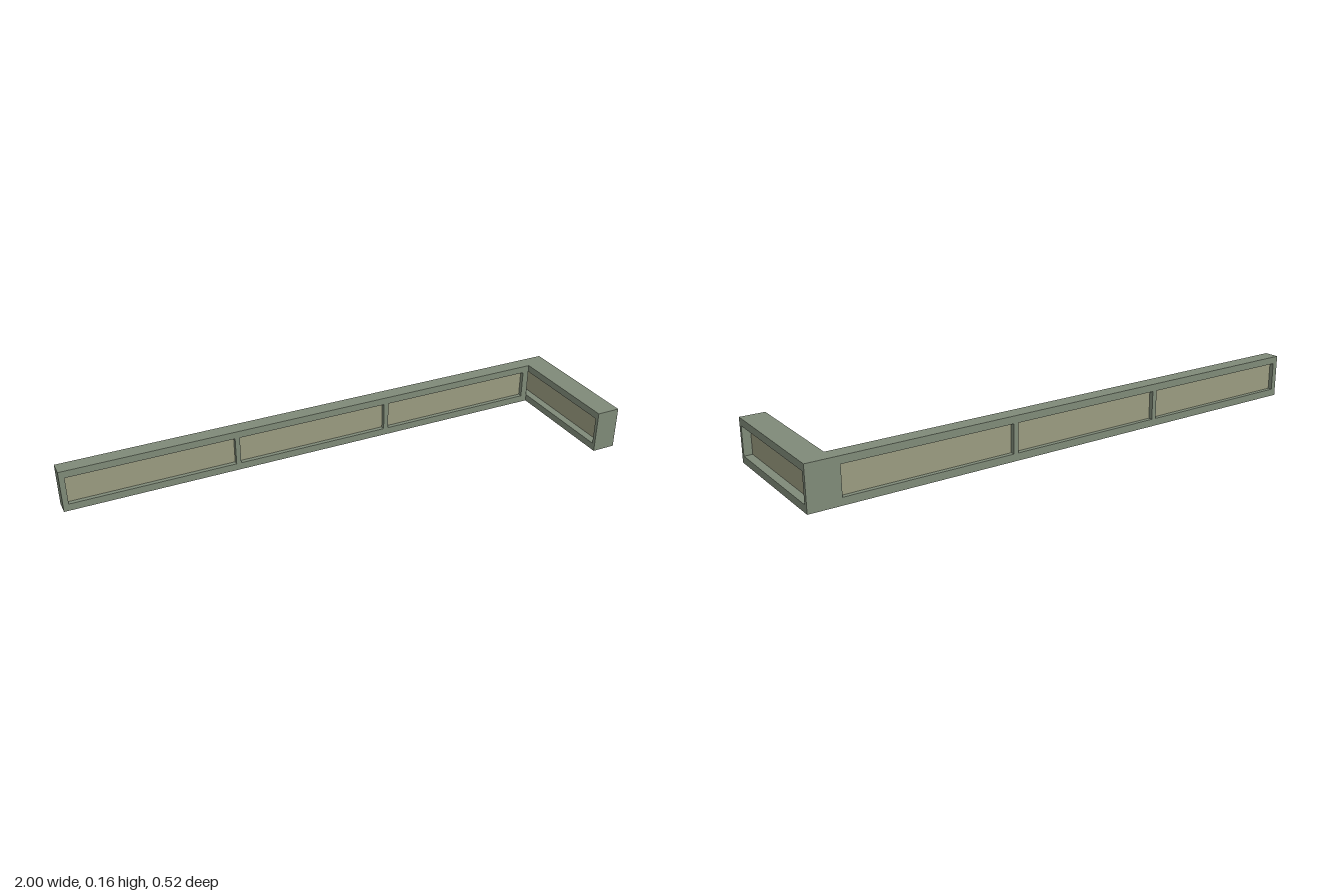
import * as THREE from 'three';

const HEIGHT = 0.16;
const SILL = 0.027;
const HEAD = 0.133;

const frameMaterial = new THREE.MeshStandardMaterial({ color: 0x7f8a78 });
const panelMaterial = new THREE.MeshStandardMaterial({ color: 0x9a9b80 });

function rectangle(path, x0, x1, y0, y1) {
  path.moveTo(x0, y0);
  path.lineTo(x1, y0);
  path.lineTo(x1, y1);
  path.lineTo(x0, y1);
  path.closePath();
  return path;
}

// A wall frame along local x, pierced by openings that each hold a thin recessed panel
function createWall(name, start, end, depth, openings, panelDepth) {
  const wall = new THREE.Group();
  wall.name = name;

  const outline = rectangle(new THREE.Shape(), start, end, 0, HEIGHT);
  for (const [a, b] of openings) {
    outline.holes.push(rectangle(new THREE.Path(), a, b, SILL, HEAD));
  }
  const frame = new THREE.Mesh(
    new THREE.ExtrudeGeometry(outline, { depth, bevelEnabled: false }),
    frameMaterial
  );
  frame.name = name + 'Frame';
  wall.add(frame);

  openings.forEach(([a, b], i) => {
    const panel = new THREE.Mesh(
      new THREE.BoxGeometry(b - a, HEAD - SILL, panelDepth),
      panelMaterial
    );
    panel.name = name + 'Panel' + (i + 1);
    panel.position.set((a + b) / 2, (SILL + HEAD) / 2, depth / 2);
    wall.add(panel);
  });
  return wall;
}

export function createModel() {
  const model = new THREE.Group();
  model.name = 'cornerWall';

  // Long back wall with three panels
  const backWall = createWall('backWall', -1, 0.91, 0.057,
    [[-0.98, -0.363], [-0.345, 0.246], [0.265, 0.885]], 0.024);
  backWall.position.z = -0.258;
  model.add(backWall);

  // Short, thicker side wing with one panel, turned to run along z
  const sideWing = createWall('sideWing', -0.258, 0.258, 0.09, [[-0.243, 0.244]], 0.03);
  sideWing.rotation.y = -Math.PI / 2;
  sideWing.position.x = 1;
  model.add(sideWing);

  return model;
}
